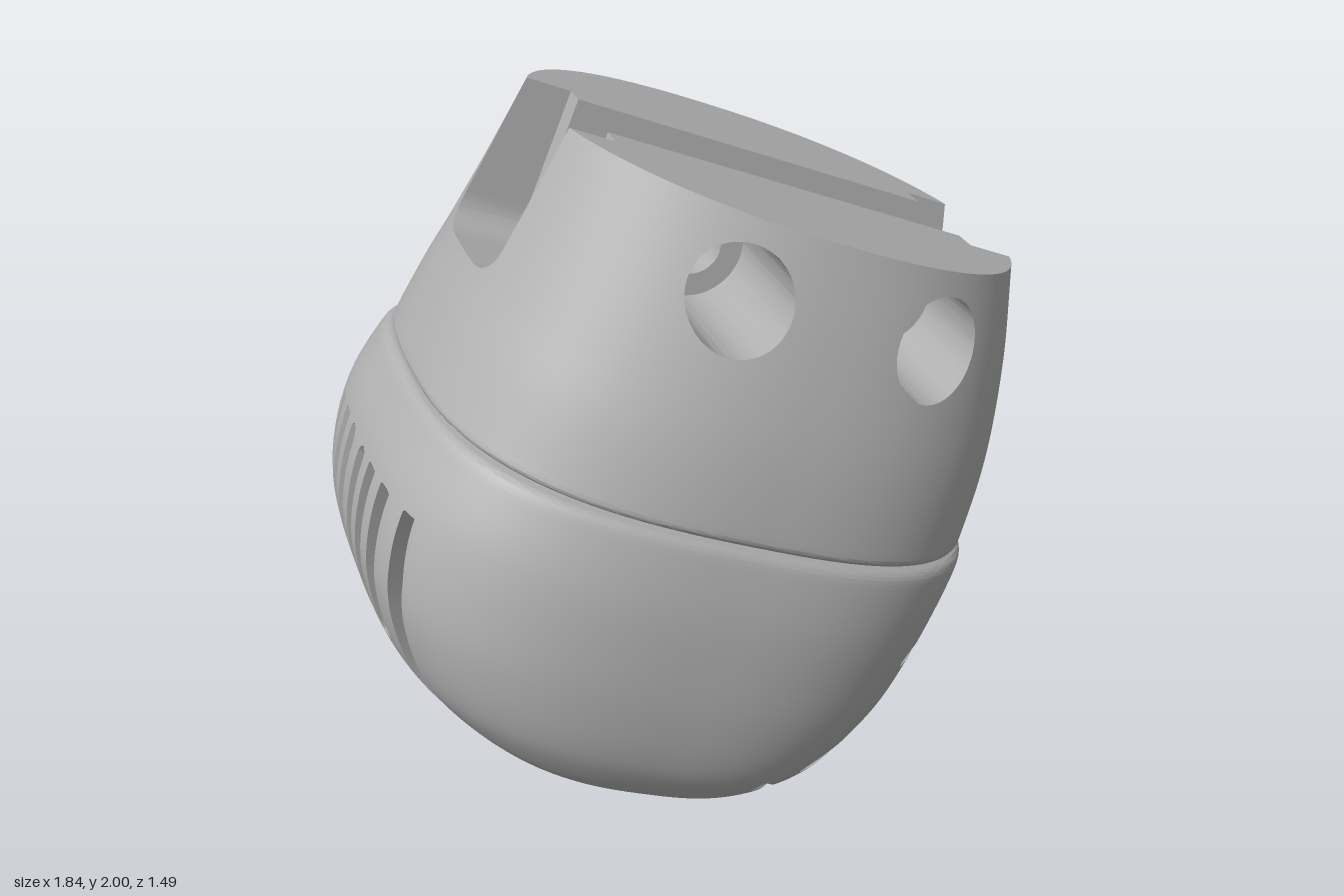
import * as THREE from 'three';
import { toCreasedNormals } from 'three/addons/utils/BufferGeometryUtils.js';

const TILT = Math.PI / 8, COS = Math.cos(TILT), SIN = Math.sin(TILT);
const grey = new THREE.MeshStandardMaterial({ color: 0xb2b2b2, side: THREE.DoubleSide });
grey.name = 'plain grey';

// Cross-sections, bottom to top: [height, x min, x max, half depth]
const LOWER = [
  [0, -0.25, -0.25, 0], [0.008, -0.42, -0.03, 0.28], [0.04, -0.6, 0.1, 0.45],
  [0.1, -0.8, 0.22, 0.57], [0.2, -0.975, 0.335, 0.655], [0.3, -1.085, 0.395, 0.7],
  [0.45, -1.18, 0.455, 0.73], [0.6, -1.222, 0.48, 0.742], [0.75, -1.228, 0.492, 0.743],
  [0.89, -1.2, 0.498, 0.728], [0.933, -1.182, 0.488, 0.714], [0.945, -1.155, 0.46, 0.685],
];
const TOP = 1.725, FLOOR = 1.3, SLOT = 0.13, RECESS = 0.2, FILLET = 0.08;
const UPPER = [
  [0.945, -1.155, 0.46, 0.685], [0.957, -1.176, 0.478, 0.705], [0.99, -1.18, 0.482, 0.71],
  [1.15, -1.162, 0.468, 0.697], [1.3, -1.14, 0.443, 0.673], [1.5, -1.115, 0.392, 0.627],
  [TOP, -1.092, 0.314, 0.565],
];
const ENDS = [-0.93, 0.15], TOP_POWER = 2.2;
const HOLE_X = [-0.645, -0.062], HOLE_Y = 1.53, HOLE_R = 0.135, PIN_R = 0.075, SEAT_Z = 0.24;

// Smooth skin through the cross-sections; pl and pr set how square each end is
function skin(rows, pl, pr) {
  const curve = (f) => new THREE.CatmullRomCurve3(rows.map(f), false, 'catmullrom', 0.5);
  const spans = curve((r) => new THREE.Vector3(r[0], r[1], r[2]));
  const depths = curve((r) => new THREE.Vector3(r[3], 0, 0));
  return (u, v) => {
    const s = spans.getPoint(v), b = depths.getPoint(v).x, t = u * Math.PI * 2;
    const c = Math.cos(t), d = Math.sin(t), e = 2 / (c > 0 ? pr(v) : pl(v));
    const pow = (k) => Math.sign(k) * Math.abs(k) ** e;
    return new THREE.Vector3((s.y + s.z) / 2 + (s.z - s.y) / 2 * pow(c), s.x, b * pow(d));
  };
}

function toGeometry(tris) {
  const pos = [];
  const ab = new THREE.Vector3(), ac = new THREE.Vector3();
  for (const [a, b, c] of tris) {
    if (ab.subVectors(b, a).cross(ac.subVectors(c, a)).length() < 1e-9) continue;
    pos.push(...a, ...b, ...c);
  }
  const g = new THREE.BufferGeometry();
  g.setAttribute('position', new THREE.Float32BufferAttribute(pos, 3));
  return toCreasedNormals(g, 0.6);
}

// Splits a skin where field < 0: kept surface, cut-out surface, and walls pushed inwards
function carve(P, nu, nv, field, inward) {
  const kept = [], cut = [], walls = [], grid = [];
  for (let j = 0; j <= nv; j++) {
    grid.push([]);
    for (let i = 0; i < nu; i++) {
      const p = P(i / nu, j / nv);
      grid[j].push({ p, d: field(p) });
    }
  }
  const fan = (list, out) => {
    for (let k = 2; k < list.length; k++) out.push([list[0], list[k - 1], list[k]]);
  };
  const split = (tri) => {
    const inside = [], outside = [], cross = [];
    tri.forEach((a, k) => {
      const b = tri[(k + 1) % 3];
      (a.d > 0 ? outside : inside).push(a.p);
      if (a.d > 0 !== b.d > 0) {
        const m = a.p.clone().lerp(b.p, a.d / (a.d - b.d));
        inside.push(m); outside.push(m); cross.push(m);
      }
    });
    fan(outside, kept);
    fan(inside, cut);
    if (cross.length === 2) {
      const [a, b] = cross, a2 = inward(a), b2 = inward(b);
      walls.push([a, b, b2], [a, b2, a2]);
    }
  };
  for (let j = 0; j < nv; j++) for (let i = 0; i < nu; i++) {
    const n = (i + 1) % nu, lo = grid[j], hi = grid[j + 1];
    split([lo[i], hi[i], hi[n]]);
    split([lo[i], hi[n], lo[n]]);
  }
  return { kept, walls, floor: cut.map((t) => t.map(inward)) };
}

// Tread strokes, mirrored in z: toe strokes as [z, upright y], sole strokes as [z, upright x]
const TOE = [
  [[0, 0.345], [0.2, 0.255]], [[0.2, 0.255], [0.35, 0.28]], [[0.35, 0.44], [0.35, 0.12]],
  [[0.35, 0.43], [0.54, 0.47]], [[0.35, 0.205], [0.57, 0.2]],
];
const SOLE = [
  [[0, 0.37], [0.3, 0.33]], [[0.3, 0.33], [0.6, 0.07]],
  [[0, 0], [0.25, 0.06]], [[0.25, 0.06], [0.5, -0.1]],
  [[0, -0.36], [0.25, -0.28]], [[0.25, -0.28], [0.5, -0.38]],
  [[0, -0.66], [0.41, -0.56]],
];
function strokeDistance(strokes, x, y) {
  return Math.min(...strokes.map(([[ax, ay], [bx, by]]) => {
    const dx = bx - ax, dy = by - ay;
    const t = THREE.MathUtils.clamp(((x - ax) * dx + (y - ay) * dy) / (dx * dx + dy * dy), 0, 1);
    return Math.hypot(x - ax - t * dx, y - ay - t * dy);
  }));
}
function treadField(p) {
  const a = Math.abs(p.z), wx = COS * p.x + SIN * p.y, wy = COS * p.y - SIN * p.x;
  let g = Math.max(strokeDistance(TOE, a, wy) - 0.022, 0.12 - wx);
  g = Math.min(g, Math.max(strokeDistance(SOLE, a, wx) - 0.024, p.y - 0.35, wy - (wx > -0.2 ? 0.25 : 0.5)));
  // Heel slits: three short pairs and a long outer pair running under the sole
  for (const c of [0.06, 0.165, 0.275])
    g = Math.min(g, Math.max(Math.abs(a - c) - 0.029, p.x + 0.7, p.y - 0.72, 0.3 - p.y));
  return Math.min(g, Math.max(Math.abs(a - 0.41) - 0.03, p.x + 0.35, p.y - 0.72));
}

// End recesses of the slot and the two front bores
function slotField(p) {
  const q = Math.abs(p.z) - RECESS + FILLET, r = FLOOR + FILLET - p.y;
  let g = Math.hypot(Math.max(q, 0), Math.max(r, 0)) + Math.min(Math.max(q, r), 0) - FILLET;
  if (p.z > 0) for (const x of HOLE_X) g = Math.min(g, Math.hypot(p.x - x, p.y - HOLE_Y) - HOLE_R);
  return g;
}

export function createModel() {
  const model = new THREE.Group(), body = new THREE.Group();
  body.name = 'tiltedBody';
  body.rotation.z = -TILT;
  model.add(body);
  const add = (name, geometry, x = 0, y = 0, z = 0) => {
    const m = new THREE.Mesh(geometry, grey);
    m.name = name;
    m.position.set(x, y, z);
    body.add(m);
    return m;
  };

  // Rounded lower shell with recessed tread
  const core = new THREE.Vector3(-0.37, 0.6, 0);
  const sink = (p) => p.clone().add(core.clone().sub(p).setLength(0.05));
  const low = carve(skin(LOWER, () => 2.95, () => 2.5), 280, 132, treadField, sink);
  add('lowerShell', toGeometry(low.kept));
  add('treadGrooveWalls', toGeometry(low.walls));
  add('treadGrooveFloors', toGeometry(low.floor));

  // Tapered upper collar
  const power = (base) => (v) => THREE.MathUtils.lerp(base, TOP_POWER, v);
  const collar = skin(UPPER, power(2.9), power(2.5));
  const push = (p) => Math.abs(p.z) > 0.3 ? new THREE.Vector3(p.x, p.y, SEAT_Z)
    : new THREE.Vector3(p.x < -0.39 ? ENDS[0] : ENDS[1], p.y, p.z);
  const up = carve(collar, 200, 72, slotField, push);
  add('upperCollar', toGeometry(up.kept));
  add('recessAndBoreWalls', toGeometry(up.walls));

  // Slot floor
  const floor = new THREE.PlaneGeometry(ENDS[1] - ENDS[0], SLOT * 2).rotateX(-Math.PI / 2);
  add('slotFloor', floor, (ENDS[0] + ENDS[1]) / 2, FLOOR, 0);

  // Side walls of the slot, pierced by the pin holes
  const wall = new THREE.Shape([[ENDS[0], FLOOR], [ENDS[1], FLOOR], [ENDS[1], TOP], [ENDS[0], TOP]]
    .map((p) => new THREE.Vector2(...p)));
  for (const x of HOLE_X) wall.holes.push(new THREE.Path().absarc(x, HOLE_Y, PIN_R, 0, Math.PI * 2, true));

  // Shoulder at each recess, from slot wall to recess wall
  const step = new THREE.Shape();
  step.moveTo(SLOT, TOP);
  step.lineTo(SLOT, FLOOR);
  step.absarc(RECESS - FILLET, FLOOR + FILLET, FILLET, -Math.PI / 2 + 0.13, 0, false);
  step.lineTo(RECESS, TOP);

  // Flat top of one cheek
  const t0 = Math.asin((RECESS / UPPER[6][3]) ** (TOP_POWER / 2)), rim = [];
  for (let k = 0; k <= 64; k++) {
    const p = collar((t0 + (Math.PI - 2 * t0) * k / 64) / (2 * Math.PI), 1);
    rim.push(new THREE.Vector2(p.x, p.z));
  }
  for (const [x, z] of [[ENDS[0], RECESS], [ENDS[0], SLOT], [ENDS[1], SLOT], [ENDS[1], RECESS]])
    rim.push(new THREE.Vector2(x, z));
  const cap = new THREE.Shape(rim);

  for (const s of [1, -1]) {
    add('slotWall', new THREE.ShapeGeometry(wall, 32), 0, 0, SLOT * s);
    add('cheekTop', new THREE.ShapeGeometry(cap).rotateX(Math.PI / 2), 0, TOP, 0).scale.z = s;
    for (const x of ENDS)
      add('recessShoulder', new THREE.ShapeGeometry(step).rotateY(-Math.PI / 2), x, 0, 0).scale.z = s;
  }

  // Bore seats, pin holes and blind ends
  const depth = SEAT_Z - SLOT;
  for (const x of HOLE_X) {
    add('boreSeat', new THREE.RingGeometry(PIN_R, HOLE_R, 48), x, HOLE_Y, SEAT_Z);
    for (const s of [1, -1]) {
      const tube = new THREE.CylinderGeometry(PIN_R, PIN_R, depth, 40, 1, true).rotateX(Math.PI / 2);
      add('pinHole', tube, x, HOLE_Y, s * (SLOT + depth / 2));
    }
    add('pinHoleEnd', new THREE.CircleGeometry(PIN_R, 40), x, HOLE_Y, -SEAT_Z);
  }
  return model;
}
